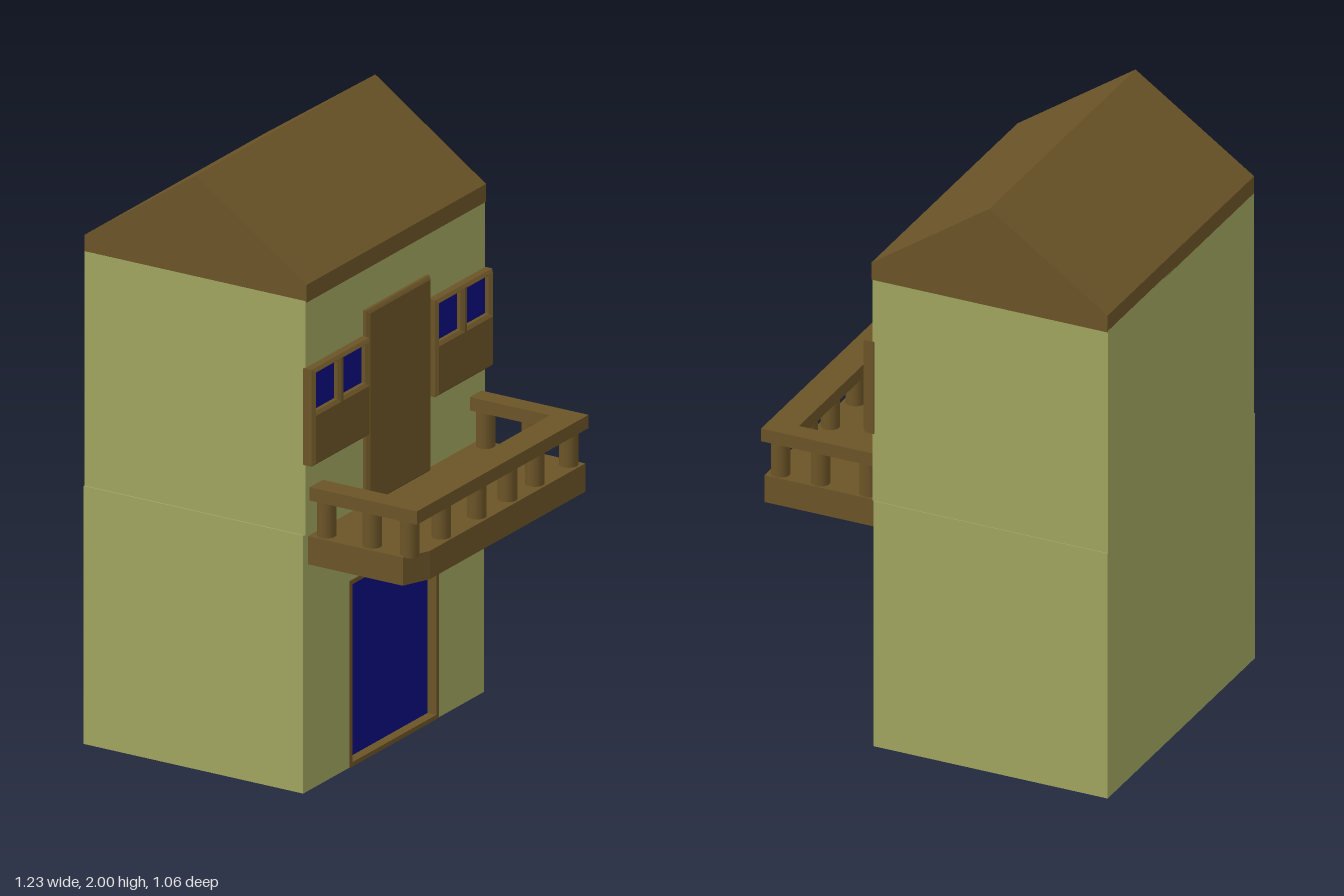
import * as THREE from 'three';

const mat = (color) => new THREE.MeshStandardMaterial({ color, flatShading: true });
const WALL = mat(0xa0a55f), WOOD = mat(0x6b5427), RED = mat(0x8b0e0e), BLUE = mat(0x0c0c80);
const SMOOTH_WOOD = new THREE.MeshStandardMaterial({ color: 0x6b5427 });

export function createModel() {
  const house = new THREE.Group();
  house.name = 'house';

  const add = (name, geometry, material) => {
    const mesh = new THREE.Mesh(geometry, material);
    mesh.name = name;
    house.add(mesh);
    return mesh;
  };

  // Box given by its minimum and maximum corners
  const box = (name, material, x0, x1, y0, y1, z0, z1) => {
    const g = new THREE.BoxGeometry(x1 - x0, y1 - y0, z1 - z0);
    return add(name, g.translate((x0 + x1) / 2, (y0 + y1) / 2, (z0 + z1) / 2), material);
  };

  const rect = (z0, z1, y0, y1, Type = THREE.Shape) => new Type([
    new THREE.Vector2(-z1, y0), new THREE.Vector2(-z0, y0),
    new THREE.Vector2(-z0, y1), new THREE.Vector2(-z1, y1),
  ]);

  // Upright panel facing +x with openings and optional bevelled edges
  const panel = (name, material, outer, holes, x0, x1, bevel = 0) => {
    const shape = rect(...outer);
    shape.holes = holes.map((h) => rect(...h, THREE.Path));
    const g = new THREE.ExtrudeGeometry(shape, {
      depth: x1 - x0 - 2 * bevel, bevelEnabled: bevel > 0, bevelSegments: 1,
      bevelSize: bevel, bevelThickness: bevel, bevelOffset: -bevel,
    });
    g.translate(0, 0, x0 + bevel).rotateY(Math.PI / 2);
    return add(name, g, material);
  };

  // Storeys, the lower one with a recessed doorway
  box('lowerStorey', WALL, -0.615, 0.165, 0, 0.87, -0.532, 0.532);
  panel('lowerFrontWall', WALL, [-0.532, 0.532, 0, 0.87], [[-0.25, 0.25, 0.01, 0.62]], 0.165, 0.205);
  box('upperStorey', WALL, -0.615, 0.21, 0.87, 1.66, -0.529, 0.527);

  // Wide ground floor door
  panel('groundDoorFrame', WOOD, [-0.262, 0.262, 0, 0.63], [[-0.247, 0.247, 0.015, 0.615]], 0.165, 0.208);
  box('groundDoor', BLUE, 0.155, 0.175, 0.01, 0.62, -0.25, 0.25);

  // Gabled roof
  const gable = new THREE.Shape([
    [-0.615, 1.655], [0.213, 1.655], [0.213, 1.715], [-0.2, 2], [-0.615, 1.715],
  ].map(([x, y]) => new THREE.Vector2(x, y)));
  const roof = new THREE.ExtrudeGeometry(gable, { depth: 1.057, bevelEnabled: false });
  add('roof', roof.translate(0, 0, -0.531), WOOD);

  // Balcony door
  panel('balconyDoorFrame', WOOD, [-0.187, 0.187, 0.86, 1.52], [[-0.167, 0.167, 0.88, 1.505]], 0.19, 0.23, 0.01);
  box('balconyDoor', RED, 0.2, 0.225, 0.87, 1.512, -0.175, 0.175);

  // Four-pane windows on both sides of the door
  for (const s of [-1, 1]) {
    const c = s * 0.363, holes = [];
    for (const [z0, z1] of [[c - 0.148, c - 0.016], [c + 0.016, c + 0.148]]) {
      for (const [y0, y1] of [[1.128, 1.258], [1.288, 1.417]]) holes.push([z0, z1, y0, y1]);
    }
    panel('windowFrame', WOOD, [c - 0.168, c + 0.168, 1.108, 1.435], holes, 0.195, 0.245, 0.01);
    box('windowGlass', BLUE, 0.2, 0.222, 1.12, 1.425, c - 0.155, c + 0.155);
  }

  // Balcony floor with one clipped corner
  const deck = new THREE.Shape([
    [0.2, -0.505], [0.56, -0.505], [0.6, -0.41], [0.6, 0.505], [0.2, 0.505],
  ].map(([x, y]) => new THREE.Vector2(x, y)));
  const floor = new THREE.ExtrudeGeometry(deck, { depth: 0.095, bevelEnabled: false });
  add('balconyFloor', floor.rotateX(-Math.PI / 2).translate(0, 0.765, 0), WOOD);

  // Handrails
  box('frontRail', WOOD, 0.51, 0.61, 0.98, 1.025, -0.508, 0.502);
  box('sideRail', WOOD, 0.205, 0.51, 0.98, 1.025, -0.508, -0.44);
  box('sideRail', WOOD, 0.205, 0.51, 0.98, 1.025, 0.425, 0.502);

  // Balusters along the front and both sides
  const posts = [0.465, 0.28, 0.07, -0.11, -0.27, -0.47].map((z) => [0.56, z]);
  for (const x of [0.25, 0.42]) posts.push([x, 0.465], [x, -0.47]);
  for (const [x, z] of posts) {
    const g = new THREE.CylinderGeometry(0.031, 0.031, 0.13, 20);
    add('baluster', g, SMOOTH_WOOD).position.set(x, 0.92, z);
  }

  return house;
}
